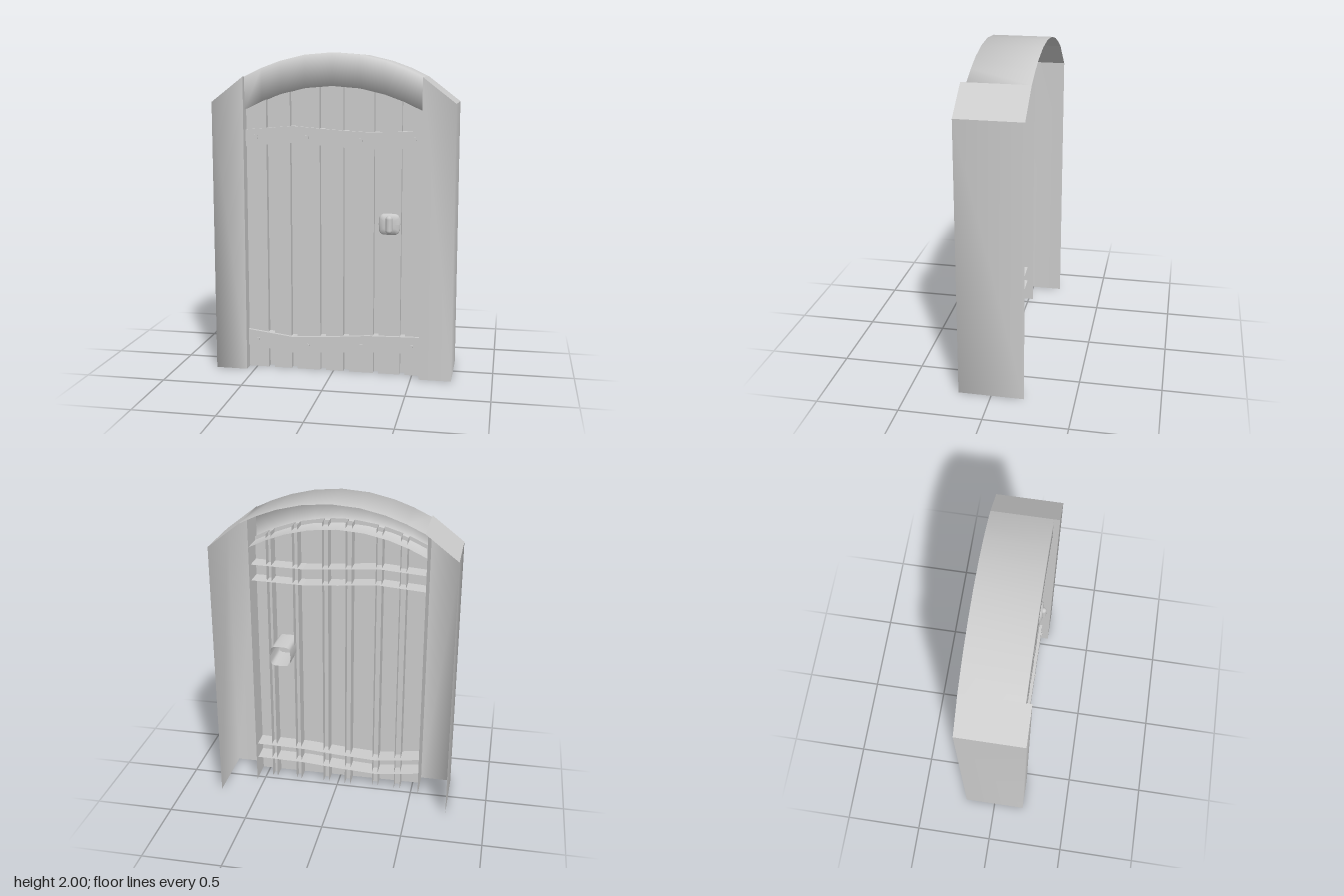
import * as THREE from 'three';

// Indexed surface through rows of [x, y, z] points; flat = faceted shading
function grid(rows, flat = false) {
  const n = rows[0].length, index = [];
  for (let i = 0; i < rows.length - 1; i++) {
    for (let j = 0; j < n - 1; j++) {
      const a = i * n + j, b = a + 1, c = a + n, d = c + 1;
      index.push(a, c, b, b, c, d);
    }
  }
  let geo = new THREE.BufferGeometry();
  geo.setAttribute('position', new THREE.Float32BufferAttribute(rows.flat(2), 3));
  geo.setIndex(index);
  if (flat) geo = geo.toNonIndexed();
  geo.computeVertexNormals();
  return geo;
}

export function createModel() {
  const model = new THREE.Group();
  model.name = 'archedDoor';
  const grey = new THREE.MeshStandardMaterial({ color: 0xcccccc, side: THREE.DoubleSide });
  grey.name = 'plain grey';

  const add = (name, geo, parent = model) => {
    const mesh = new THREE.Mesh(geo, grey);
    mesh.name = name;
    parent.add(mesh);
    return mesh;
  };
  const group = (name) => {
    const g = new THREE.Group();
    g.name = name;
    model.add(g);
    return g;
  };

  // Arch: open-backed shell with top, front and soffit
  const archY = (x) => 2 - 0.48 * x * x;
  const archX = [-0.55, -0.44, -0.32, -0.17, 0, 0.17, 0.32, 0.44, 0.55];
  const archRow = (drop, z) => archX.map((x) => [x, archY(x) - drop, z]);
  add('arch', grid([archRow(0, -0.2), archRow(0, 0.165), archRow(0.2, 0.165), archRow(0.2, -0.03)]));

  // Side posts: front and outer walls, inner reveal, sloping top
  for (const side of [-1, 1]) {
    const post = group(side > 0 ? 'leftPost' : 'rightPost');
    const inner = 0.55 * side, outer = 0.75 * side;
    const wall = (x, z) => [[x, 0, z], [x, Math.abs(x) > 0.6 ? 1.7 : 1.855, z]];
    const order = (list) => (side > 0 ? list : list.reverse());
    add('postFace', grid(order([wall(inner, 0.2), wall(outer, 0.2), wall(outer, -0.2)])), post);
    add('postReveal', grid(order([wall(inner, -0.03), wall(inner, 0.2)])), post);
    const topRow = (z) => order([[inner, 1.855, z], [outer, 1.7, z]]);
    add('postTop', grid([topRow(-0.2), topRow(0.2)]), post);
  }

  // Planks: open-backed boards, with a recessed strip closing each gap
  const planks = group('planks');
  const gaps = [[-0.423, -0.383], [-0.272, -0.234], [-0.085, -0.047], [0.063, 0.1], [0.254, 0.288], [0.423, 0.455]];
  const edges = [-0.55, ...gaps.flat(), 0.55];
  const upright = (x, z) => [[x, 0, z], [x, archY(x) - 0.175, z]];
  for (let i = 0; i < edges.length; i += 2) {
    const [a, b] = [edges[i], edges[i + 1]];
    add('plank', grid([upright(a, 0.03), upright(a, 0.13), upright(b, 0.13), upright(b, 0.03)], true), planks);
  }
  for (const [a, b] of gaps) {
    add('gapStrip', grid([upright(a, 0.09), upright(b, 0.09)], true), planks);
  }

  // Bent cross bands, open at the back, held with small square nails
  const bands = [
    ['upperBand', [[-0.55, 1.53], [-0.25, 1.555], [0, 1.535], [0.22, 1.522], [0.55, 1.532]],
      [[-0.485, 1.485], [-0.16, 1.487], [0.175, 1.474], [0.5, 1.486]]],
    ['lowerBand', [[-0.55, 0.25], [-0.26, 0.213], [0, 0.228], [0.22, 0.246], [0.55, 0.253]],
      [[-0.485, 0.19], [-0.16, 0.165], [0.18, 0.184], [0.5, 0.196]]],
  ];
  for (const [name, line, nails] of bands) {
    const band = group(name);
    const row = (drop, z) => line.map(([x, y]) => [x, y - drop, z]);
    add('bandStrip', grid([row(0, 0.01), row(0, 0.15), row(0.104, 0.15), row(0.104, 0.01)], true), band);
    const size = name === 'upperBand' ? 0.024 : 0.016;
    for (const [x, y] of nails) {
      const nail = add('nail', new THREE.BoxGeometry(size, size, 0.015), band);
      nail.position.set(x, y, 0.151);
      nail.rotation.z = -0.12;
    }
  }

  // Handle: rounded-square sleeve with a domed face and an upright grip
  const handle = group('handle');
  handle.position.set(0.352, 0.96, 0);
  const loop = (r, z) => Array.from({ length: 17 }, (_, i) => {
    const t = -i * Math.PI / 8;
    const round = (v) => Math.sign(v) * Math.sqrt(Math.abs(v));
    return [r * round(Math.cos(t)), r * round(Math.sin(t)), z];
  });
  add('sleeve', grid([loop(0.066, -0.08), loop(0.066, 0.14)]), handle);
  add('handleFace', grid([loop(0.066, 0.14), loop(0.058, 0.154), loop(0.035, 0.16), loop(0.001, 0.162)]), handle);
  add('grip', new THREE.CapsuleGeometry(0.021, 0.07, 4, 10), handle).position.z = 0.161;

  return model;
}
